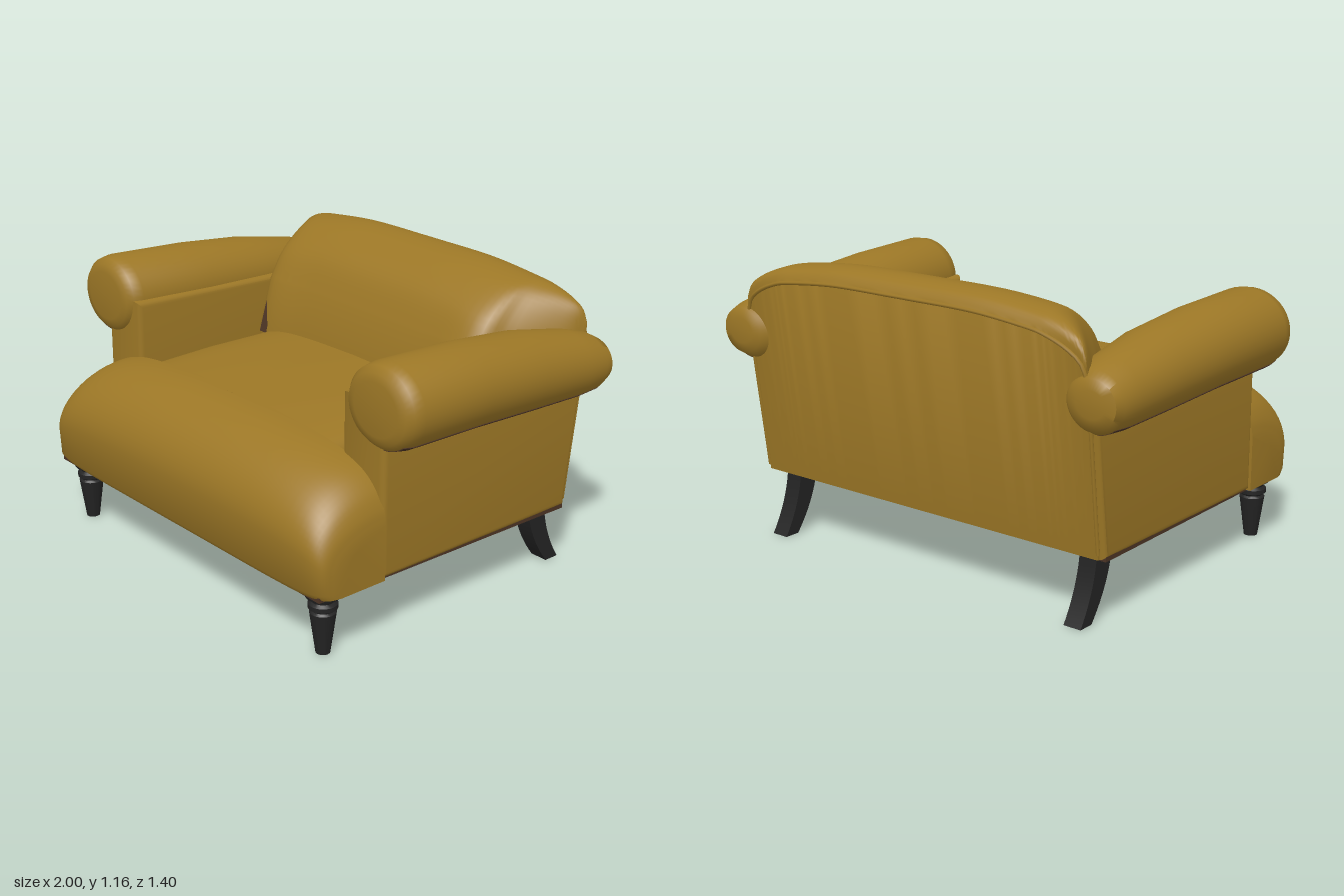
import * as THREE from 'three';
import { toCreasedNormals } from 'three/addons/utils/BufferGeometryUtils.js';

const fabric = new THREE.MeshStandardMaterial({ color: 0x9c7726 });
fabric.name = 'mustardFabric';
const lining = new THREE.MeshStandardMaterial({ color: 0x4c3425 });
lining.name = 'brownLining';
const wood = new THREE.MeshStandardMaterial({ color: 0x232323 });
wood.name = 'blackWood';

// Solid skin over a row of closed loops of [x, y, z], capped at both ends.
function loft(loops, crease = 0.7) {
  const n = loops[0].length, pos = [], idx = [];
  loops.forEach(l => l.forEach(p => pos.push(...p)));
  for (let i = 0; i < loops.length - 1; i++) {
    for (let j = 0; j < n; j++) {
      const a = i * n + j, b = i * n + (j + 1) % n;
      idx.push(a, b, b + n, a, b + n, a + n);
    }
  }
  [0, loops.length - 1].forEach((s, end) => {
    const c = pos.length / 3;
    for (let k = 0; k < 3; k++) pos.push(loops[s].reduce((t, p) => t + p[k], 0) / n);
    for (let j = 0; j < n; j++) {
      const a = s * n + j, b = s * n + (j + 1) % n;
      if (end) idx.push(a, b, c); else idx.push(b, a, c);
    }
  });
  // turn the faces outward if the loops run the other way
  const v = i => new THREE.Vector3().fromArray(pos, i * 3);
  let volume = 0;
  for (let i = 0; i < idx.length; i += 3) volume += v(idx[i]).dot(v(idx[i + 1]).cross(v(idx[i + 2])));
  if (volume < 0) idx.reverse();
  const g = new THREE.BufferGeometry();
  g.setAttribute('position', new THREE.Float32BufferAttribute(pos, 3));
  g.setIndex(idx);
  return toCreasedNormals(g, crease);
}

// Smooth row of stations from the middle outward, mirrored to the other side.
function stations(list, count = 24) {
  const half = new THREE.CatmullRomCurve3(list.map(p => new THREE.Vector3(...p))).getPoints(count);
  const left = half.slice(1).reverse().map(p => new THREE.Vector3(-p.x, p.y, p.z));
  return [...left, ...half];
}

function add(group, name, geometry, material) {
  const m = new THREE.Mesh(geometry, material);
  m.name = name;
  group.add(m);
  return m;
}

// Rake of the rear panel
const rearZ = y => -0.59 - (y - 0.26) * 0.118;
// Pull a backrest point toward the rear panel by depth d
const pinch = (z, y, d) => rearZ(y) + (z - rearZ(y)) * d;
const frontOfBack = y => -0.21 - (y - 0.7) * 0.3;

function backLoop({ x, y: T, z: d }) {
  const top = new THREE.SplineCurve([
    [rearZ(T - 0.06), T - 0.06], [-0.655, T - 0.015], [-0.57, T], [-0.46, T - 0.03],
    [-0.34, T - 0.12], [-0.27, Math.min(0.9, T - 0.2)],
  ].map(p => new THREE.Vector2(...p))).getPoints(24).map(p => [p.x, p.y]);
  return [[-0.59, 0.26], ...top, [-0.21, 0.7], [-0.21, 0.5], [-0.4, 0.26]]
    .map(([z, y]) => [x, y, pinch(z, y, d)]);
}

// Front cushion section: upright face rolling back into the seat top
function frontLoop({ x, y: T, z: F }) {
  const loop = [[0.38, 0.26], [F - 0.025, 0.26], [F - 0.006, 0.285]];
  const mid = 0.26 + (T - 0.26) * 0.42;
  for (let i = 0; i <= 16; i++) {
    const a = i / 16 * Math.PI / 2;
    loop.push([0.39 + (F - 0.39) * Math.cos(a), mid + (T - mid) * Math.sin(a)]);
  }
  loop.push([0.38, T]);
  return loop.map(([z, y]) => [x, y, z]);
}

// Arm roll stations: z, centre x, centre y, radius x, radius y
const rollTable = [
  [0.415, 0.825, 0.915, 0.11, 0.1], [0.408, 0.825, 0.915, 0.145, 0.13],
  [0.385, 0.825, 0.915, 0.167, 0.152], [0.34, 0.825, 0.915, 0.175, 0.16],
  [0, 0.817, 0.903, 0.173, 0.159], [-0.3, 0.815, 0.882, 0.165, 0.152],
  [-0.55, 0.822, 0.855, 0.143, 0.132], [-0.64, 0.835, 0.848, 0.125, 0.115],
  [-0.68, 0.85, 0.85, 0.1, 0.09], [-0.69, 0.85, 0.85, 0.06, 0.05],
];
const rollPoint = ([z, cx, cy, rx, ry], a, side, s = 1) =>
  [side * (cx + rx * s * Math.cos(a)), cy + ry * s * Math.sin(a), z];

function arm(side) {
  const g = new THREE.Group();
  g.name = side > 0 ? 'leftArm' : 'rightArm';
  add(g, 'armRoll', loft(rollTable.map(r =>
    Array.from({ length: 40 }, (_, j) => rollPoint(r, j / 40 * Math.PI * 2, side))), 1), fabric);
  // lining strip beneath the roll
  const from = -1.5, to = -0.85;
  add(g, 'rollUnderside', loft(rollTable.slice(2, 8).map(r => {
    const loop = [];
    for (let i = 0; i <= 8; i++) loop.push(rollPoint(r, from + (to - from) * i / 8, side, 0.99));
    for (let i = 8; i >= 0; i--) loop.push(rollPoint(r, from + (to - from) * i / 8, side, 1.015));
    return loop;
  })), lining);
  // upright panel with softened edges
  const b = 0.025;
  const shape = new THREE.Shape([[0.39 - b, 0.26 + b], [0.39 - b, 0.9], [rearZ(0.9) + b + 0.01, 0.87],
    [rearZ(0.28) + b + 0.01, 0.26 + b]].map(p => new THREE.Vector2(...p)));
  const panel = new THREE.ExtrudeGeometry(shape, {
    depth: 0.22 - 2 * b, bevelSize: b, bevelThickness: b, bevelSegments: 4,
  }).translate(0, 0, -0.11 + b).rotateY(-Math.PI / 2).translate(side * 0.735, 0, 0);
  add(g, 'armPanel', toCreasedNormals(panel, 0.6), fabric);
  return g;
}

export function createModel() {
  const model = new THREE.Group();
  model.name = 'armchair';

  // Seat
  add(model, 'frontCushion', loft(stations([[0, 0.73, 0.7], [0.3, 0.725, 0.7], [0.58, 0.702, 0.699],
    [0.73, 0.662, 0.693], [0.805, 0.605, 0.68], [0.84, 0.54, 0.655], [0.852, 0.48, 0.61]])
    .map(frontLoop)), fabric);
  add(model, 'seatCushion', loft(stations([[0, 0.735, 0], [0.3, 0.728, 0], [0.47, 0.712, 0],
    [0.55, 0.685, 0], [0.58, 0.63, 0], [0.585, 0.5, 0]])
    .map(({ x, y }) => [[0.4, 0.45], [0.4, y - 0.005], [0.1, y + 0.004], [-0.23, y], [-0.3, 0.45]]
      .map(p => [x, p[1], p[0]]))), fabric);
  add(model, 'seatDeck', new THREE.BoxGeometry(1.32, 0.34, 0.78).translate(0, 0.44, 0), lining);
  const base = new THREE.Shape([[-0.82, -0.66], [0.82, -0.66], [0.84, 0.57], [-0.84, 0.57]]
    .map(p => new THREE.Vector2(...p)));
  add(model, 'underside', new THREE.ExtrudeGeometry(base, { depth: 0.02, bevelEnabled: false })
    .rotateX(-Math.PI / 2).translate(0, 0.252, 0), lining);

  // Backrest, with a welt along its rear edge
  const backStations = stations([[0, 1.16, 1], [0.35, 1.157, 1], [0.58, 1.135, 1], [0.66, 1.118, 0.76],
    [0.75, 1.08, 0.42], [0.8, 1.04, 0.2], [0.82, 0.99, 0.05]], 32);
  add(model, 'backrest', loft(backStations.map(backLoop)), fabric);
  const welt = new THREE.CatmullRomCurve3([new THREE.Vector3(-0.82, 0.28, -0.59),
    ...backStations.map(p => new THREE.Vector3(p.x, p.y - 0.06, rearZ(p.y - 0.06))),
    new THREE.Vector3(0.82, 0.28, -0.59)]);
  add(model, 'backWelt', new THREE.TubeGeometry(welt, 100, 0.008, 6), fabric);

  // Lining showing in the lower back corners: x, height, depth
  const corners = {
    leftCornerLining: [[0.35, 0.73, 1], [0.48, 0.77, 1], [0.58, 0.83, 1], [0.65, 0.9, 0.8]],
    rightCornerLining: [[-0.54, 0.72, 1], [-0.58, 0.8, 1], [-0.65, 0.9, 0.8]],
  };
  for (const [name, list] of Object.entries(corners)) {
    add(model, name, loft(list.map(([x, h, d]) => [[0.69, -0.002], [h, -0.002], [h, 0.007], [0.69, 0.007]]
      .map(([y, off]) => [x, y, pinch(frontOfBack(y), y, d) + off]))), lining);
  }

  // Turned front legs and swept back legs
  const turned = [[0, 0], [0.027, 0], [0.05, 0.165], [0.042, 0.173], [0.055, 0.183], [0.055, 0.2],
    [0.043, 0.21], [0.046, 0.218], [0.064, 0.228], [0.069, 0.24], [0.069, 0.265]]
    .map(p => new THREE.Vector2(...p));
  const swept = new THREE.Shape();
  swept.moveTo(-0.445, 0.27);
  swept.quadraticCurveTo(-0.46, 0.13, -0.565, 0);
  swept.lineTo(-0.63, 0);
  swept.quadraticCurveTo(-0.545, 0.13, -0.535, 0.27);
  for (const side of [1, -1]) {
    model.add(arm(side));
    const front = add(model, 'frontLeg', toCreasedNormals(new THREE.LatheGeometry(turned, 28), 0.6), wood);
    front.position.set(side * 0.745, 0, 0.578);
    const back = new THREE.ExtrudeGeometry(swept, { depth: 0.075, bevelEnabled: false, curveSegments: 12 })
      .translate(0, 0, -0.0375).rotateY(-Math.PI / 2);
    add(model, 'backLeg', toCreasedNormals(back, 0.6), wood).position.x = side * 0.74;
  }
  return model;
}
